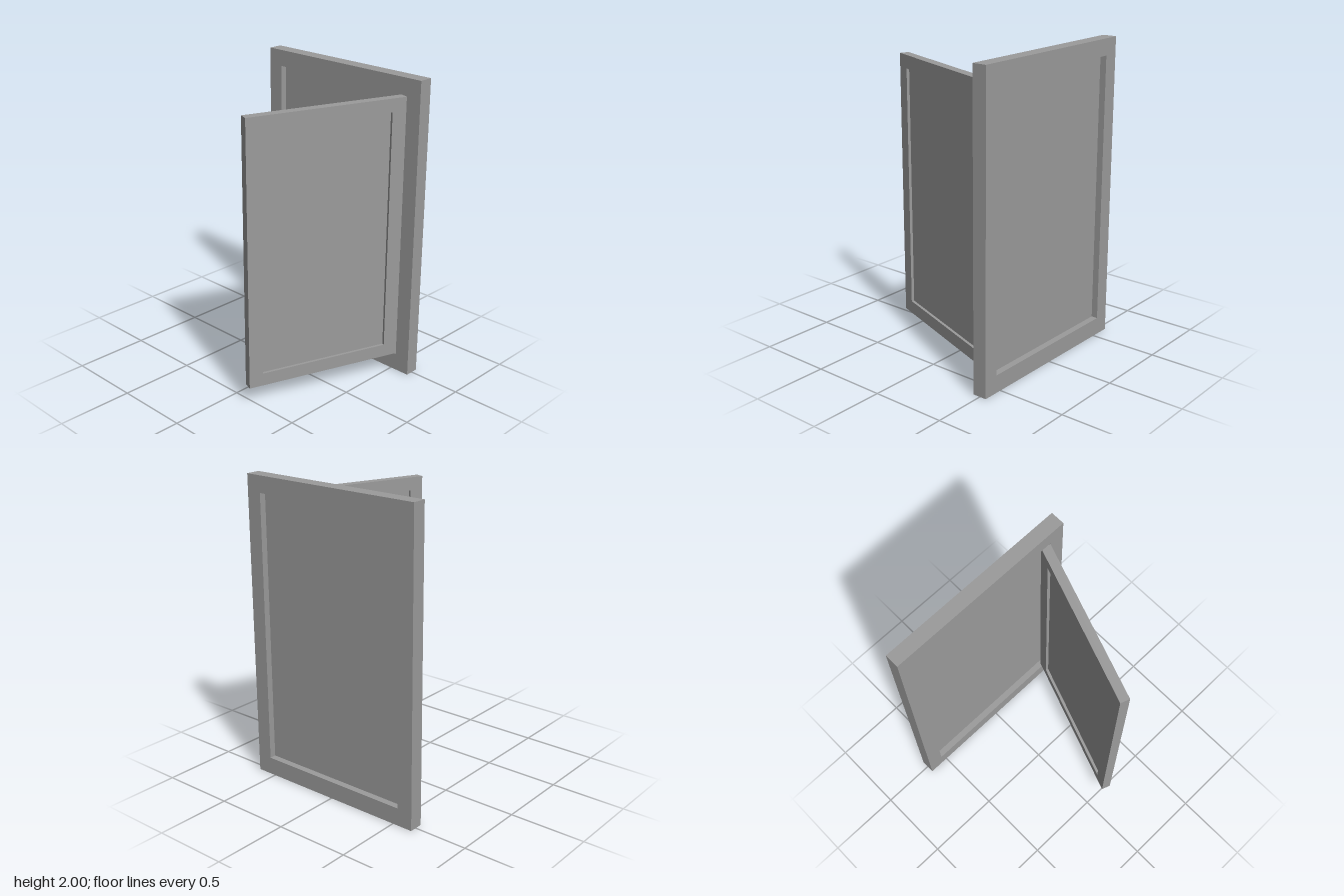
import * as THREE from 'three';

const material = new THREE.MeshStandardMaterial({ color: 0x9b9b9b });

function rectangle(path, x0, x1, y0, y1) {
  path.moveTo(x0, y0);
  path.lineTo(x1, y0);
  path.lineTo(x1, y1);
  path.lineTo(x0, y1);
  path.closePath();
  return path;
}

// Rectangular surround with a pane halfway through it; front face at z = 0
function framedPane(name, outer, inner, depth, paneDepth) {
  const group = new THREE.Group();
  group.name = name;

  const shape = rectangle(new THREE.Shape(), ...outer);
  shape.holes.push(rectangle(new THREE.Path(), ...inner));
  const surround = new THREE.Mesh(
    new THREE.ExtrudeGeometry(shape, { depth, bevelEnabled: false }), material);
  surround.name = name + 'Surround';
  surround.position.z = -depth;

  const [x0, x1, y0, y1] = inner;
  const pane = new THREE.Mesh(new THREE.BoxGeometry(x1 - x0, y1 - y0, paneDepth), material);
  pane.name = name + 'Pane';
  pane.position.set((x0 + x1) / 2, (y0 + y1) / 2, -depth / 2);

  group.add(surround, pane);
  return group;
}

export function createModel() {
  const model = new THREE.Group();
  model.name = 'openWindow';
  const frontZ = -0.451;

  // Fixed outer frame
  const frame = framedPane('frame',
    [-0.64, 0.64, 0, 2], [-0.537, 0.537, 0.116, 1.892], 0.094, 0.008);
  frame.position.z = frontZ;

  // Sash hinged at its outer +x edge and swung open by 70 degrees
  const sash = framedPane('sash',
    [-1.061, 0, 0.124, 1.884], [-0.971, -0.096, 0.209, 1.798], 0.061, 0.024);
  sash.position.set(0.537, 0, frontZ);
  sash.rotation.y = THREE.MathUtils.degToRad(70);

  model.add(frame, sash);
  return model;
}
